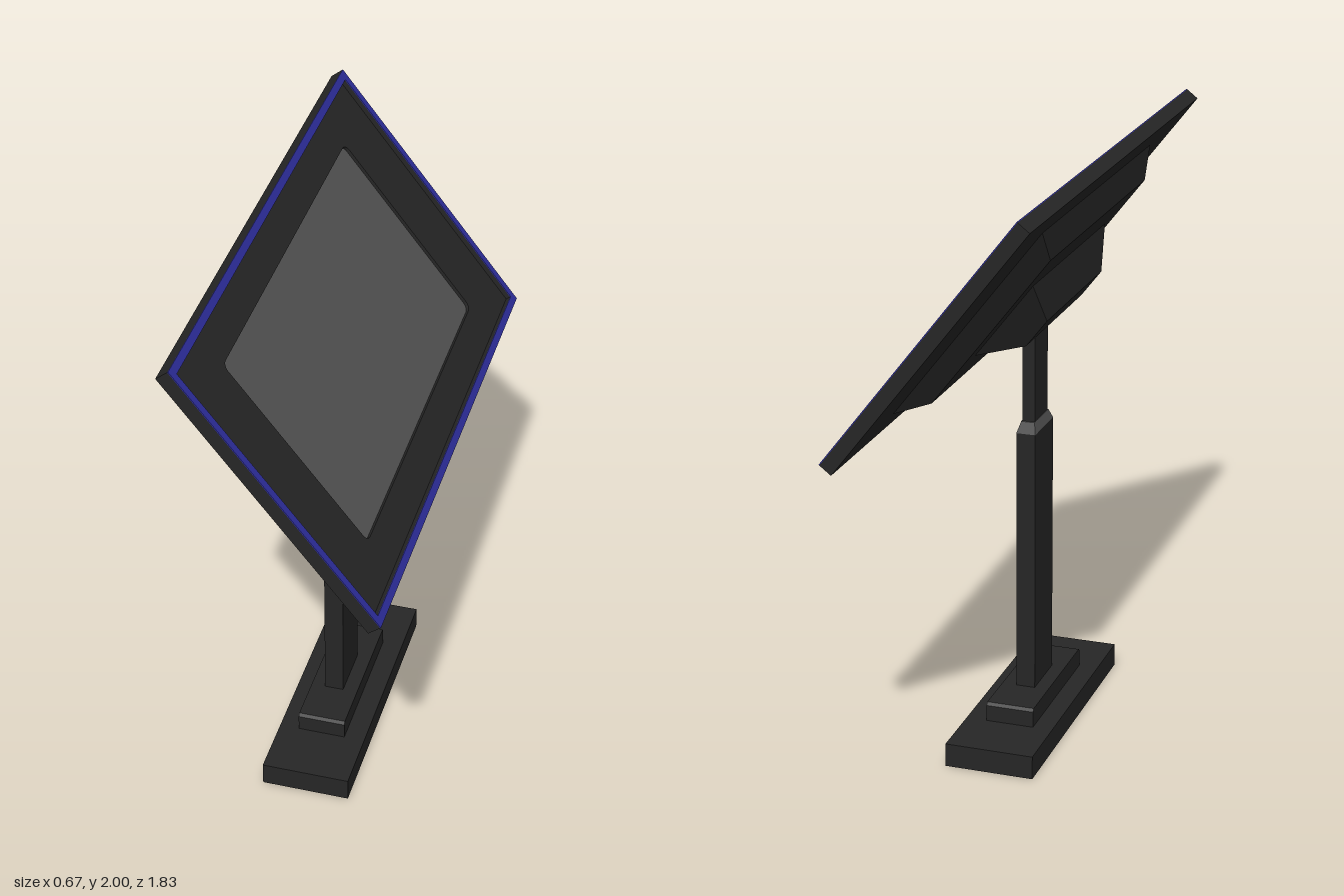
import * as THREE from 'three';

const mat = (name, color) => {
  const m = new THREE.MeshStandardMaterial({ color });
  m.name = name;
  return m;
};

// Box-like solid tapering from a bottom rectangle (y0) to a top rectangle (y1)
function taper(w0, d0, w1, d1, y0, y1) {
  const g = new THREE.BoxGeometry(1, 1, 1);
  const p = g.attributes.position;
  for (let i = 0; i < p.count; i++) {
    const top = p.getY(i) > 0;
    p.setXYZ(i, p.getX(i) * (top ? w1 : w0), top ? y1 : y0, p.getZ(i) * (top ? d1 : d0));
  }
  g.computeVertexNormals();
  return g;
}

// Rectangle outline with optional rounded corners
function rect(w, h, r, Kind = THREE.Shape) {
  const s = new Kind();
  const x = w / 2, y = h / 2;
  if (!r) {
    s.moveTo(-x, -y).lineTo(x, -y).lineTo(x, y).lineTo(-x, y).closePath();
    return s;
  }
  s.absarc(x - r, y - r, r, 0, Math.PI / 2);
  s.absarc(-x + r, y - r, r, Math.PI / 2, Math.PI);
  s.absarc(-x + r, -y + r, r, Math.PI, Math.PI * 1.5);
  s.absarc(x - r, -y + r, r, Math.PI * 1.5, Math.PI * 2);
  s.closePath();
  return s;
}

// Flat frame with a hole, from z0 to z1
function frame(w, h, hw, hh, r, z0, z1) {
  const s = rect(w, h, 0);
  s.holes.push(rect(hw, hh, r, THREE.Path));
  const g = new THREE.ExtrudeGeometry(s, { depth: z1 - z0, bevelEnabled: false, curveSegments: 4 });
  return g.translate(0, 0, z0);
}

export function createModel() {
  const dark = mat('charcoal', 0x262626);
  const grey = mat('grey', 0x555555);
  const blue = mat('blue trim', 0x2e2e9c);

  const model = new THREE.Group();
  model.name = 'displayStand';
  const add = (parent, name, geo, material, x = 0, y = 0, z = 0) => {
    const m = new THREE.Mesh(geo, material);
    m.name = name;
    m.position.set(x, y, z);
    parent.add(m);
    return m;
  };

  // Stepped foot
  add(model, 'basePlate', taper(0.3, 0.93, 0.3, 0.93, 0, 0.08), dark, -0.05);
  add(model, 'baseStep', taper(0.163, 0.515, 0.163, 0.515, 0.08, 0.135), dark, -0.052);
  // Only the sloping ends of the step's cap are grey
  add(model, 'baseStepCap', taper(0.163, 0.515, 0.163, 0.498, 0.135, 0.145),
    [dark, dark, dark, dark, grey, grey], -0.052);

  // Telescoping column
  add(model, 'outerColumn', taper(0.065, 0.188, 0.065, 0.188, 0.145, 1.05), dark, -0.053);
  add(model, 'columnCollar', taper(0.065, 0.188, 0.046, 0.145, 1.05, 1.085), grey, -0.053);
  add(model, 'innerColumn', taper(0.042, 0.134, 0.042, 0.134, 1.08, 1.46), dark, -0.054);

  // Tilted display head: local z is the screen normal, local y runs up the slope
  const head = new THREE.Group();
  head.name = 'displayHead';
  head.rotation.order = 'ZYX';
  head.rotation.set(0, Math.PI / 2, 0.661);
  head.position.set(0.015, 1.595, 0);
  model.add(head);

  const W = 1.83, H = 1.026, lip = 0.027;
  const iw = W - 2 * lip, ih = H - 2 * lip;
  add(head, 'backPanel', new THREE.BoxGeometry(W, H, 0.016), dark, 0, 0, -0.042);
  add(head, 'rim', frame(W, H, iw, ih, 0, -0.034, -0.003), dark);
  add(head, 'rimTrim', frame(W, H, iw, ih, 0, -0.003, 0), blue);
  add(head, 'bezel', frame(iw, ih, 1.32, 0.72, 0.025, -0.034, -0.02), dark);
  add(head, 'screen', new THREE.BoxGeometry(1.34, 0.74, 0.003), grey, 0, 0, -0.0325);

  // Tapered housing and column mount behind the panel
  const back = new THREE.Group();
  back.name = 'rearHousing';
  back.rotation.x = -Math.PI / 2;
  back.position.z = -0.05;
  head.add(back);
  add(back, 'housing', taper(1.16, 0.79, 1.02, 0.63, 0, 0.066), dark);
  add(back, 'columnMount', taper(0.76, 0.31, 0.58, 0.112, 0.066, 0.164), dark);

  return model;
}
